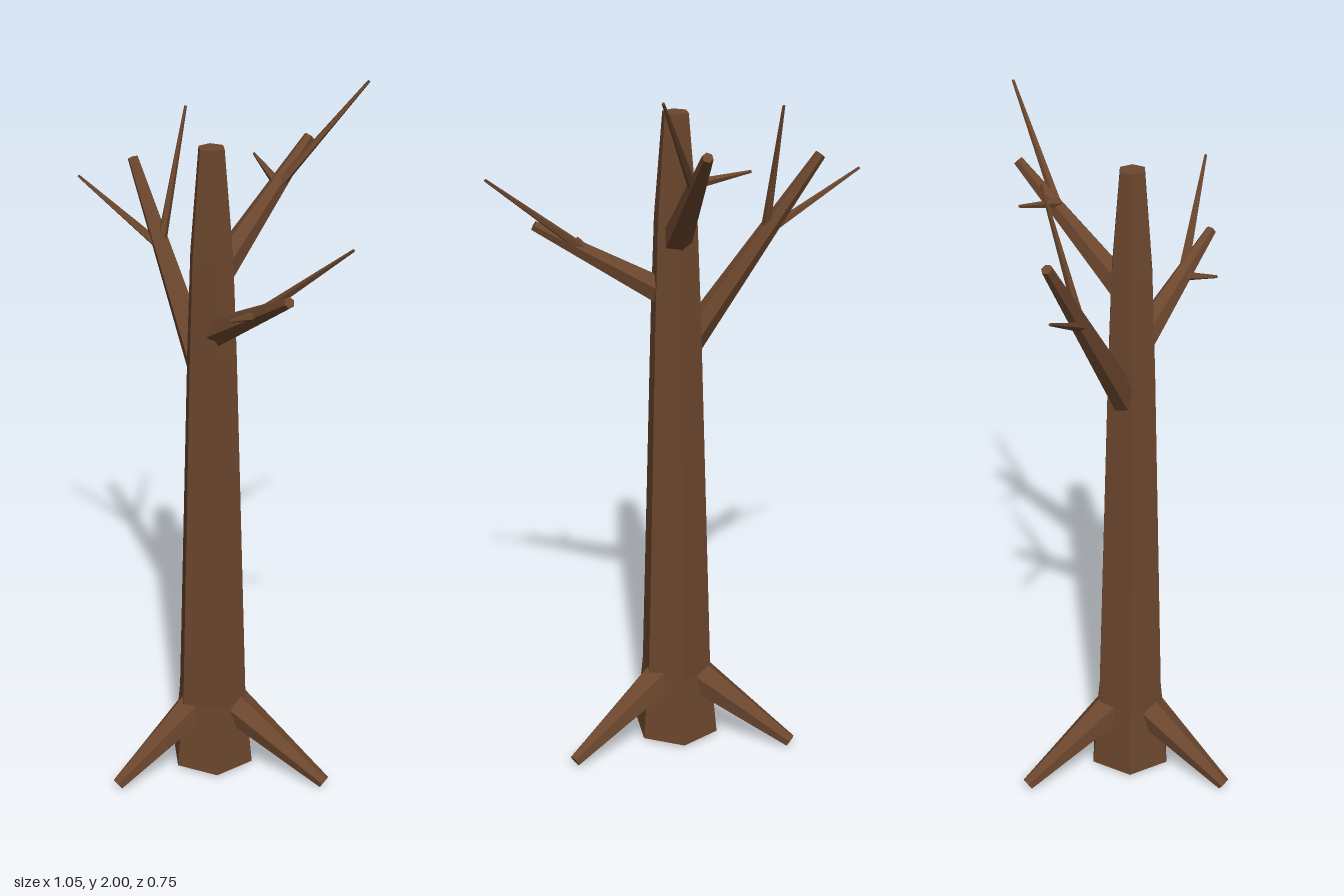
import * as THREE from 'three';

const bark = new THREE.MeshStandardMaterial({ color: 0x6b462d, flatShading: true });
bark.name = 'bark brown';

// Tapered limb running from point a to point b
function limb(name, a, b, r0, r1, sides = 6) {
  const from = new THREE.Vector3(...a);
  const dir = new THREE.Vector3(...b).sub(from);
  const length = dir.length();
  const geo = new THREE.CylinderGeometry(r1, r0, length, sides);
  geo.translate(0, length / 2, 0);
  const mesh = new THREE.Mesh(geo, bark);
  mesh.name = name;
  mesh.quaternion.setFromUnitVectors(new THREE.Vector3(0, 1, 0), dir.normalize());
  mesh.position.copy(from);
  return mesh;
}

export function createModel() {
  const tree = new THREE.Group();
  tree.name = 'bareTree';

  // Six-sided trunk, flared at the foot and narrowing to a blunt top
  const profile = [
    [0, 0.01], [0.126, 0.01], [0.105, 0.22], [0.073, 1.3],
    [0.062, 1.58], [0.037, 1.87], [0, 1.87],
  ].map(([r, y]) => new THREE.Vector2(r, y));
  const trunk = new THREE.Mesh(new THREE.LatheGeometry(profile, 6), bark);
  trunk.name = 'trunk';
  trunk.position.set(0.008, 0, 0.038);
  trunk.rotation.y = THREE.MathUtils.degToRad(-8);
  tree.add(trunk);

  // Three splayed roots
  const roots = [
    ['frontRoot', [0.005, 0.23, 0.04], [-0.053, 0.018, 0.36]],
    ['leftRoot', [0.01, 0.23, 0.03], [0.355, 0.018, -0.075]],
    ['rightRoot', [0.005, 0.23, 0.035], [-0.272, 0.018, -0.173]],
  ];
  for (const [name, a, b] of roots) tree.add(limb(name, a, b, 0.06, 0.019));

  // Three branches, each with two pointed twigs
  const branches = [
    ['leftBranch', [0.015, 1.355, 0.045], [0.378, 1.57, 0.125], [
      [[0.25, 1.5, 0.094], [0.523, 1.728, 0.053]],
      [[0.235, 1.485, 0.09], [0.238, 1.5, 0.195]],
    ]],
    ['rightBranch', [0, 1.18, 0.04], [-0.378, 1.74, -0.033], [
      [[-0.235, 1.525, -0.003], [-0.525, 1.67, 0.04]],
      [[-0.235, 1.53, -0.003], [-0.241, 1.9, -0.105]],
    ]],
    ['backBranch', [0.012, 1.51, 0.03], [0.037, 1.835, -0.298], [
      [[0.028, 1.71, -0.175], [0.178, 2.0, -0.373]],
      [[0.028, 1.735, -0.18], [-0.105, 1.77, -0.231]],
    ]],
  ];
  for (const [name, a, b, twigs] of branches) {
    const branch = new THREE.Group();
    branch.name = name;
    branch.add(limb('limb', a, b, 0.043, 0.015));
    for (const [p, q] of twigs) branch.add(limb('twig', p, q, 0.014, 0.004, 5));
    tree.add(branch);
  }
  return tree;
}
